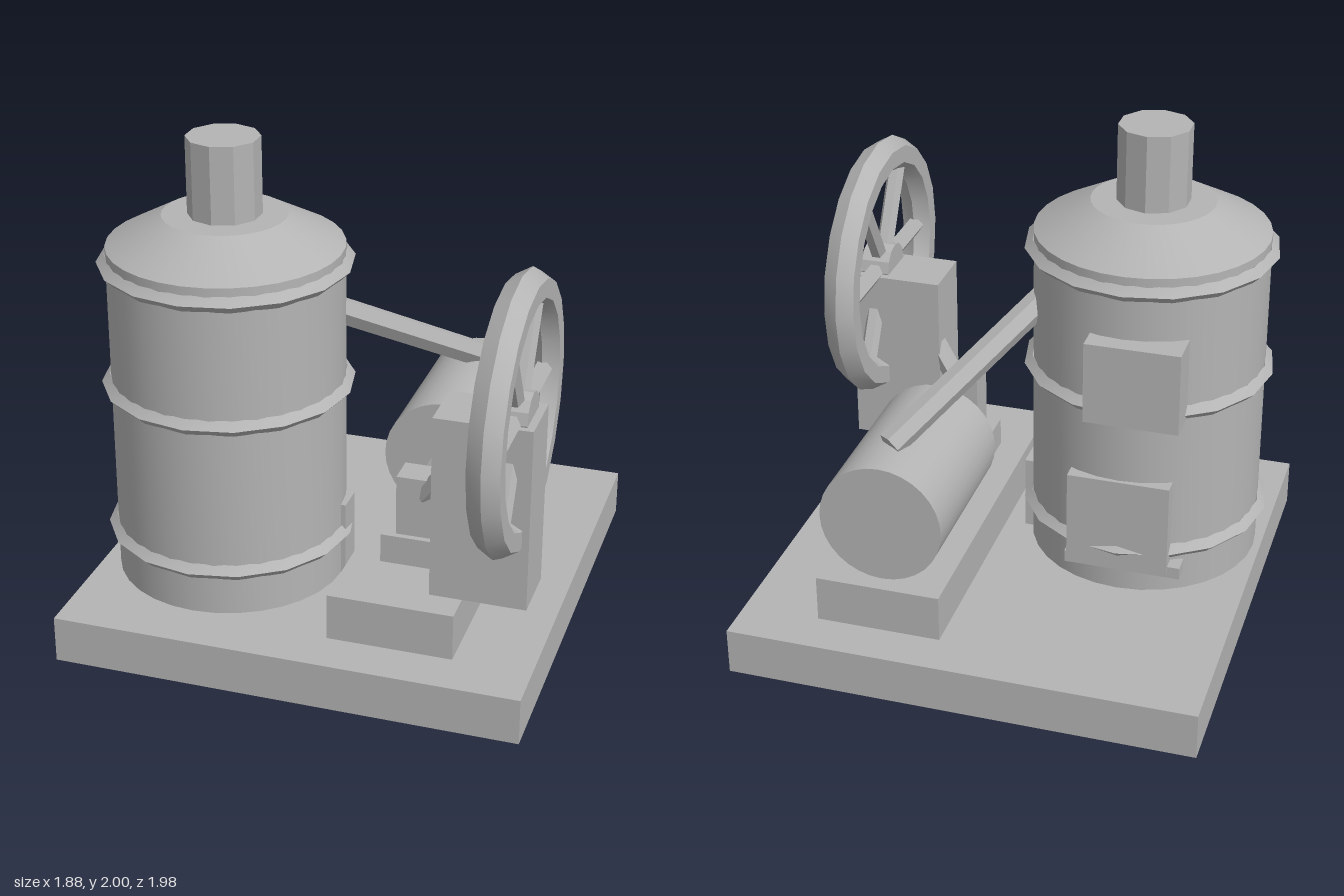
import * as THREE from 'three';
import { toCreasedNormals } from 'three/addons/utils/BufferGeometryUtils.js';

export function createModel() {
  const engine = new THREE.Group();
  engine.name = 'steamEngine';
  const grey = new THREE.MeshStandardMaterial({ color: 0xb4b4b4 });
  grey.name = 'plain grey';

  const add = (name, geometry, parent = engine) => {
    const mesh = new THREE.Mesh(toCreasedNormals(geometry, 0.5), grey);
    mesh.name = name;
    parent.add(mesh);
    return mesh;
  };
  // Box given by its limits on each axis
  const box = (name, [x0, x1], [y0, y1], [z0, z1]) => {
    const mesh = add(name, new THREE.BoxGeometry(x1 - x0, y1 - y0, z1 - z0));
    mesh.position.set((x0 + x1) / 2, (y0 + y1) / 2, (z0 + z1) / 2);
    return mesh;
  };
  // Round bar between two points
  const bar = (name, from, to, radius, sides, parent = engine) => {
    const a = new THREE.Vector3(...from), b = new THREE.Vector3(...to);
    const d = b.clone().sub(a);
    const mesh = add(name, new THREE.CylinderGeometry(radius, radius, d.length(), sides), parent);
    mesh.position.copy(a).add(b).multiplyScalar(0.5);
    mesh.quaternion.setFromUnitVectors(new THREE.Vector3(0, 1, 0), d.normalize());
    return mesh;
  };

  // Base and engine bed
  box('base', [-0.93, 0.94], [0, 0.19], [-0.99, 0.88]);
  box('engineBed', [0.13, 0.63], [0.19, 0.38], [-0.81, 0.69]);

  // Boiler with sloping shoulder, bands and chimney
  const bx = -0.435, bz = 0.195;
  const profile = [[0, 0.19], [0.465, 0.19], [0.465, 1.57], [0.245, 1.69], [0, 1.69]]
    .map(([r, y]) => new THREE.Vector2(r, y));
  add('boiler', new THREE.LatheGeometry(profile, 32)).position.set(bx, 0, bz);
  for (const y of [0.375, 1.0, 1.505]) {
    const band = add('boilerBand', new THREE.TorusGeometry(0.47, 0.032, 4, 16));
    band.rotation.x = Math.PI / 2;
    band.position.set(bx, y, bz);
  }
  bar('chimney', [bx, 1.68, bz], [bx, 2, bz], 0.145, 10);

  // Boiler fittings
  box('rearBox', [-0.68, -0.305], [0.975, 1.31], [-0.345, -0.2]);
  box('fireDoor', [-0.64, -0.23], [0.3, 0.69], [-0.285, -0.2]);
  box('doorLedge', [-0.69, -0.22], [0.28, 0.33], [-0.275, -0.2]);
  box('sidePlate', [-0.02, 0.05], [0.19, 0.5], [0.08, 0.2]);

  // Steam cylinder, feed pipe and piston rod
  bar('steamCylinder', [0.382, 0.63, -0.06], [0.382, 0.63, -0.745], 0.246, 32);
  bar('steamPipe', [-0.08, 1.32, 0.1], [0.395, 0.88, -0.57], 0.055, 6);
  bar('pistonRod', [0.38, 0.63, -0.1], [0.38, 0.63, 0.25], 0.045, 6);

  // Slide block, crosshead, connecting rod and wheel post
  box('slideBlock', [0.25, 0.5], [0.38, 0.5], [0.07, 0.38]);
  box('crosshead', [0.305, 0.45], [0.5, 0.75], [0.23, 0.355]);
  bar('connectingRod', [0.41, 0.67, 0.32], [0.62, 0.95, 0.41], 0.042, 6);
  box('wheelPost', [0.5, 0.88], [0.38, 1.13], [0.32, 0.565]);

  // Flywheel, turning about the x axis
  const wheel = new THREE.Group();
  wheel.name = 'flywheel';
  wheel.position.set(0.79, 1.135, 0.445);
  wheel.rotation.y = Math.PI / 2;
  engine.add(wheel);
  add('wheelRim', new THREE.TorusGeometry(0.473, 0.072, 6, 20), wheel);
  bar('wheelHub', [0, 0, -0.06], [0, 0, 0.06], 0.095, 12, wheel);
  for (let i = 0; i < 6; i++) {
    const a = i * Math.PI / 3;
    bar('wheelSpoke', [0, 0, 0], [0.42 * Math.cos(a), 0.42 * Math.sin(a), 0], 0.036, 6, wheel);
  }
  return engine;
}
